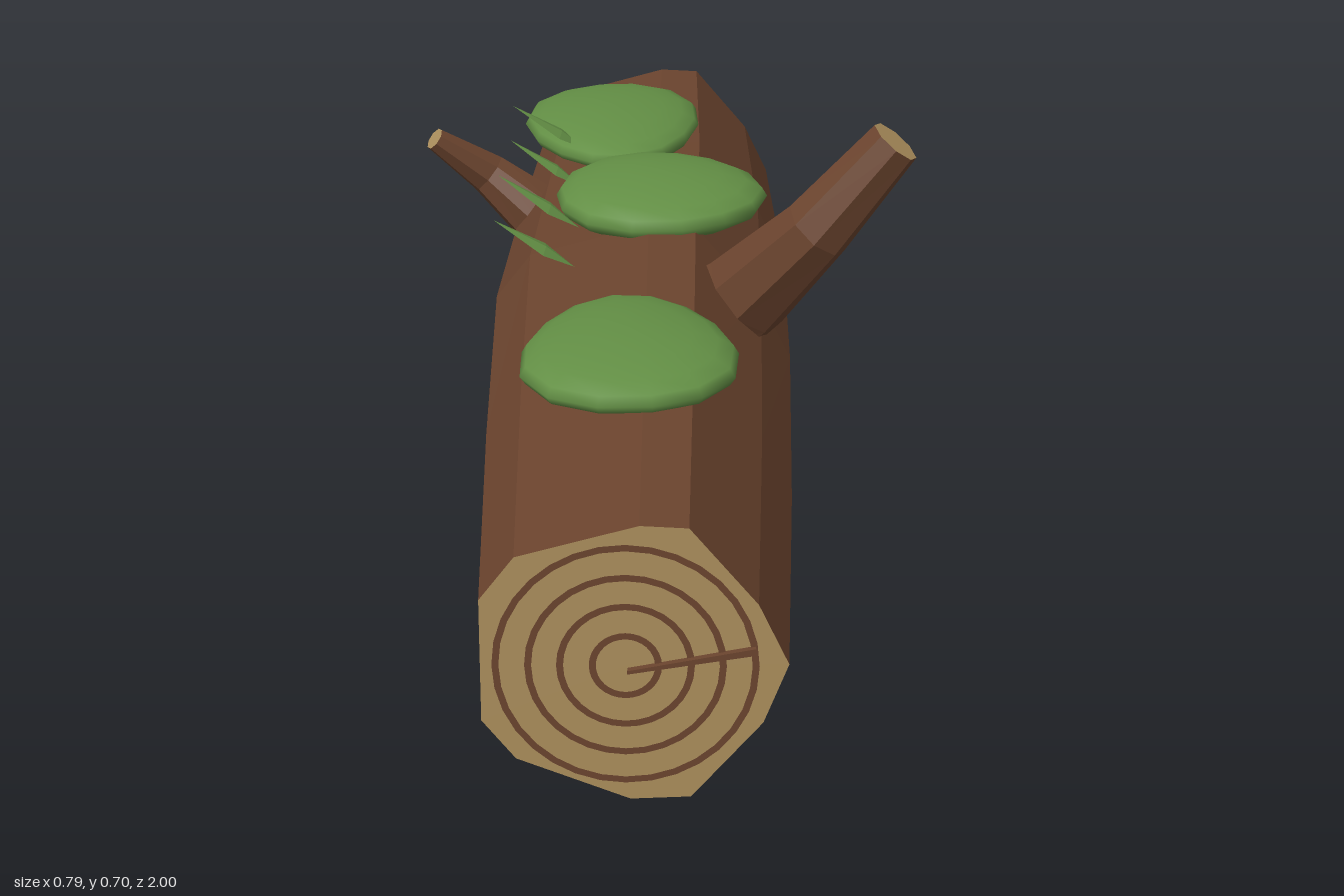
import * as THREE from 'three';
import { mergeVertices } from 'three/addons/utils/BufferGeometryUtils.js';

const bark = new THREE.MeshStandardMaterial({ color: 0x6b442e });
bark.name = 'bark brown';
const wood = new THREE.MeshStandardMaterial({ color: 0xab8e5c });
wood.name = 'cut wood tan';
const green = new THREE.MeshStandardMaterial({ color: 0x638f45 });
green.name = 'moss green';

function add(parent, name, geometry, material) {
  const mesh = new THREE.Mesh(geometry, material);
  mesh.name = name;
  parent.add(mesh);
  return mesh;
}

// Flat-faced geometry from a list of corner points, three per face
function facets(points) {
  const g = new THREE.BufferGeometry().setFromPoints(points);
  g.computeVertexNormals();
  return g;
}

// Side wall through a series of cross-sections
function loft(rings) {
  const out = [];
  for (let i = 0; i < rings.length - 1; i++) {
    const n = rings[i].length;
    for (let j = 0; j < n; j++) {
      const k = (j + 1) % n;
      const a = rings[i][j], b = rings[i][k], c = rings[i + 1][k], d = rings[i + 1][j];
      out.push(a, b, c, a, c, d);
    }
  }
  return facets(out);
}

// Flat end face over one cross-section
function endFace(ring, flip) {
  const centre = new THREE.Vector3();
  ring.forEach((p) => centre.addScaledVector(p, 1 / ring.length));
  const out = [];
  ring.forEach((p, j) => {
    const q = ring[(j + 1) % ring.length];
    out.push(centre, ...(flip ? [q, p] : [p, q]));
  });
  return facets(out);
}

// Bent, tapering branch stub with a sawn tip; stations are [x, y, z, radius]
function branch(parent, name, stations) {
  const pts = stations.map((s) => new THREE.Vector3(s[0], s[1], s[2]));
  const rings = pts.map((p, i) => {
    const t = pts[Math.min(i + 1, pts.length - 1)].clone().sub(pts[Math.max(i - 1, 0)]).normalize();
    const u = new THREE.Vector3(0, 0, 1).cross(t).normalize();
    const v = t.clone().cross(u);
    return Array.from({ length: 8 }, (_, j) => {
      const a = (j / 8) * Math.PI * 2;
      return p.clone().addScaledVector(u, Math.cos(a) * stations[i][3]).addScaledVector(v, Math.sin(a) * stations[i][3]);
    });
  });
  const g = new THREE.Group();
  g.name = name;
  add(g, name + 'Bark', loft(rings), bark);
  add(g, name + 'Tip', endFace(rings[rings.length - 1], false), wood);
  parent.add(g);
}

// Flattened, slightly uneven moss cushion
function moss(parent, centre, half, taper, phase) {
  let g = new THREE.SphereGeometry(1, 14, 10);
  g.deleteAttribute('uv');
  g.deleteAttribute('normal');
  g = mergeVertices(g, 1e-4);
  const p = g.attributes.position;
  for (let i = 0; i < p.count; i++) {
    const x = p.getX(i), y = p.getY(i), z = p.getZ(i);
    const w = 1 + 0.03 * Math.sin(3 * Math.atan2(z, x) + phase);
    p.setXYZ(i, x * half[0] * w * (1 + taper * z), y * half[1], z * half[2] * w);
  }
  g.computeVertexNormals();
  add(parent, 'mossCushion', g, green).position.set(...centre);
}

// Pointed sprout leaf leaning outward over the log's side
function leaf(parent, z, size, lean) {
  const g = new THREE.OctahedronGeometry(1);
  const p = g.attributes.position;
  for (let i = 0; i < p.count; i++) {
    const along = p.getX(i);
    const off = Math.abs(along) < 0.01 ? -0.25 : along;
    p.setXYZ(i, (off + 1) * 0.076 * size, p.getY(i) * 0.006, p.getZ(i) * 0.03 * size + off * lean);
  }
  g.computeVertexNormals();
  const m = add(parent, 'leaf', g, green);
  m.position.set(-0.12, 0.472, z);
  m.rotation.z = Math.atan2(0.083, -0.13);
}

export function createModel() {
  const model = new THREE.Group();
  model.name = 'fallenLog';

  // Trunk: one irregular outline, swelling toward the middle
  const outline = [
    [0.187, 0.232], [0.147, 0.317], [0.058, 0.424], [-0.005, 0.427], [-0.164, 0.382], [-0.21, 0.321],
    [-0.21, 0.147], [-0.166, 0.091], [-0.017, 0.032], [0.062, 0.036], [0.155, 0.147],
  ];
  // [z, centre x, centre y, width scale, height scale]
  const sections = [
    [-0.99, -0.008, 0.24, 1.06, 1.04], [-0.5, -0.01, 0.232, 1.17, 1.15], [0, -0.018, 0.25, 1.19, 1.16],
    [0.5, -0.015, 0.236, 1.11, 1.11], [0.99, -0.012, 0.232, 1, 1],
  ];
  const rings = sections.map(([z, cx, cy, sx, sy]) => outline.map(([x, y]) =>
    new THREE.Vector3(cx + (x + 0.012) * sx, cy + (y - 0.232) * sy, z)));
  add(model, 'trunk', loft(rings), bark);

  // Sawn ends with growth rings and a crack
  for (const side of [1, -1]) {
    const end = new THREE.Group();
    end.name = side > 0 ? 'frontEnd' : 'backEnd';
    add(end, 'cutFace', endFace(side > 0 ? rings[4] : rings[0], side < 0), wood);
    for (const r of [0.047, 0.089, 0.13, 0.172]) {
      const ring = add(end, 'growthRing', new THREE.RingGeometry(r - 0.009, r, 32), bark);
      ring.position.set(-0.023, 0.23, side * 0.993);
      if (side < 0) ring.rotation.y = Math.PI;
    }
    const crackShape = new THREE.Shape([
      new THREE.Vector2(-0.021, 0.221), new THREE.Vector2(0.142, 0.249),
      new THREE.Vector2(0.144, 0.259), new THREE.Vector2(-0.02, 0.226),
    ]);
    const crack = add(end, 'crack', new THREE.ExtrudeGeometry(crackShape, { depth: 0.009, bevelEnabled: false }), bark);
    crack.position.z = side > 0 ? 0.991 : -1;
    model.add(end);
  }

  // Branch stubs
  branch(model, 'leftBranch', [[0.1, 0.36, 0.085, 0.08], [0.145, 0.405, 0.11, 0.074], [0.25, 0.535, 0.175, 0.055], [0.363, 0.677, 0.187, 0.041]]);
  branch(model, 'rightBranch', [[-0.18, 0.33, -0.395, 0.06], [-0.295, 0.425, -0.41, 0.037], [-0.383, 0.498, -0.375, 0.02]]);

  // Moss cushions along the top
  moss(model, [-0.03, 0.455, 0.485], [0.155, 0.041, 0.205], 0.12, 0.5);
  moss(model, [0.005, 0.48, -0.135], [0.172, 0.046, 0.18], 0.05, 2);
  moss(model, [-0.08, 0.475, -0.535], [0.153, 0.038, 0.223], -0.08, 4);

  // Row of leaves
  leaf(model, -0.39, 1, 0.004);
  leaf(model, -0.2, 0.95, -0.008);
  leaf(model, -0.005, 1, -0.008);
  leaf(model, 0.185, 0.95, 0.004);

  return model;
}
